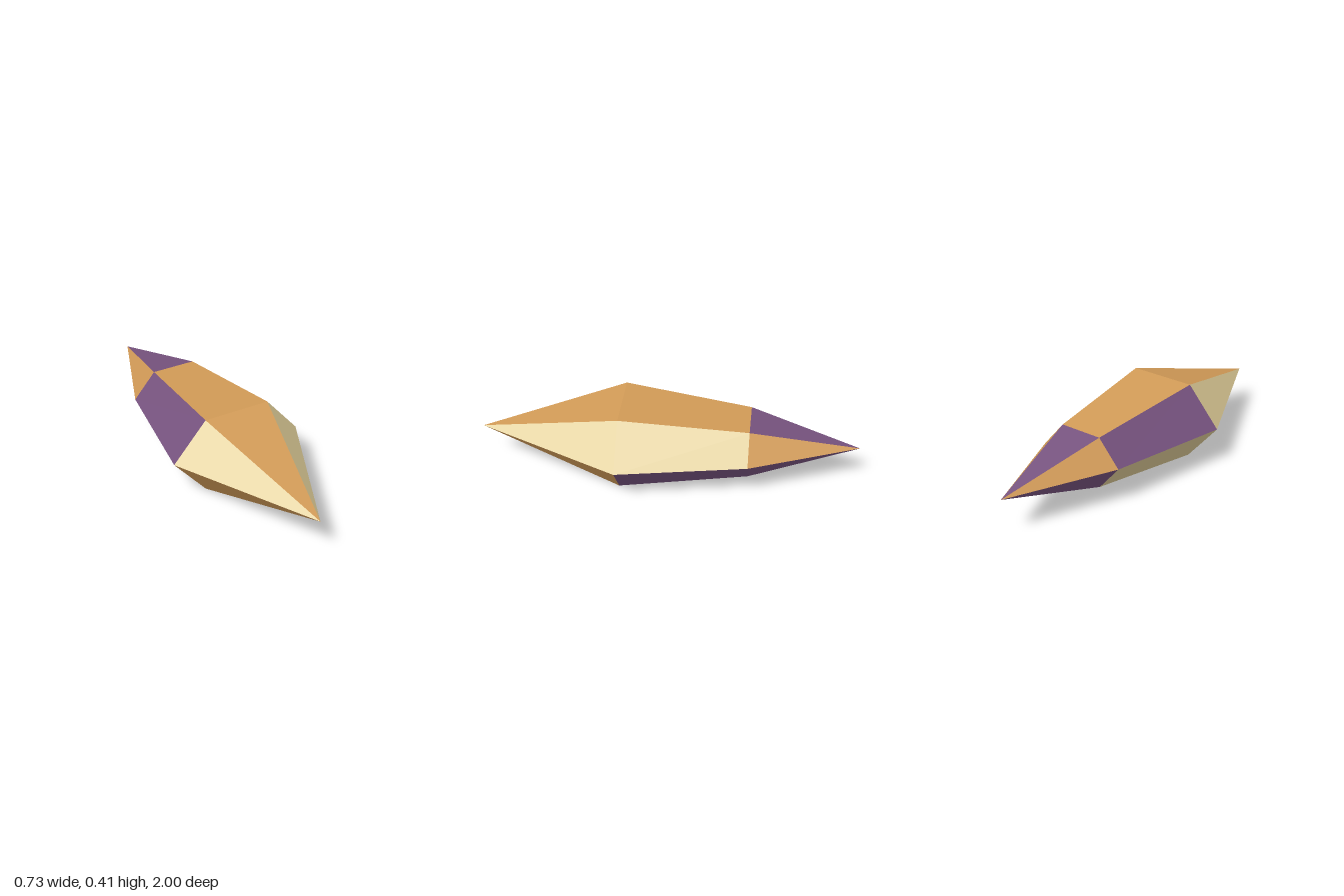
import * as THREE from 'three';

const mat = (name, color) => {
  const m = new THREE.MeshStandardMaterial({ color });
  m.name = name;
  return m;
};

export function createModel() {
  const materials = [mat('amber', 0xd29b57), mat('sand', 0xdfcd98), mat('violet', 0x77537f)];
  const [A, S, V] = [0, 1, 2];
  const centreY = 0.207;

  // Hexagonal cross-sections along z: a point has zero size
  const sections = [
    { z: 1, rx: 0, ry: 0 },
    { z: 0.246, rx: 0.363, ry: 0.207 },
    { z: -0.425, rx: 0.24, ry: 0.138 },
    { z: -1, rx: 0, ry: 0 },
  ];
  const corner = ({ z, rx, ry }, i) => {
    const a = (i % 6) * Math.PI / 3;
    return [rx * Math.cos(a), centreY + ry * Math.sin(a) / Math.sin(Math.PI / 3), z];
  };

  // Facet colours, counter-clockwise from the upper left-hand (+x) side
  const bands = [
    { name: 'frontPoint', colours: [S, A, S, A, S, A] },
    { name: 'body', colours: [S, A, V, S, A, V] },
    { name: 'backPoint', colours: [A, V, A, V, A, V] },
  ];

  const group = new THREE.Group();
  group.name = 'crystal';
  bands.forEach(({ name, colours }, b) => {
    const front = sections[b], back = sections[b + 1];
    const positions = [];
    const geometry = new THREE.BufferGeometry();
    colours.forEach((colour, i) => {
      const start = positions.length / 3;
      const f0 = corner(front, i), f1 = corner(front, i + 1);
      const b0 = corner(back, i), b1 = corner(back, i + 1);
      if (back.rx) positions.push(...f0, ...b0, ...b1);
      if (front.rx) positions.push(...f0, ...b1, ...f1);
      geometry.addGroup(start, positions.length / 3 - start, colour);
    });
    geometry.setAttribute('position', new THREE.Float32BufferAttribute(positions, 3));
    geometry.computeVertexNormals();
    const mesh = new THREE.Mesh(geometry, materials);
    mesh.name = name;
    group.add(mesh);
  });
  return group;
}
